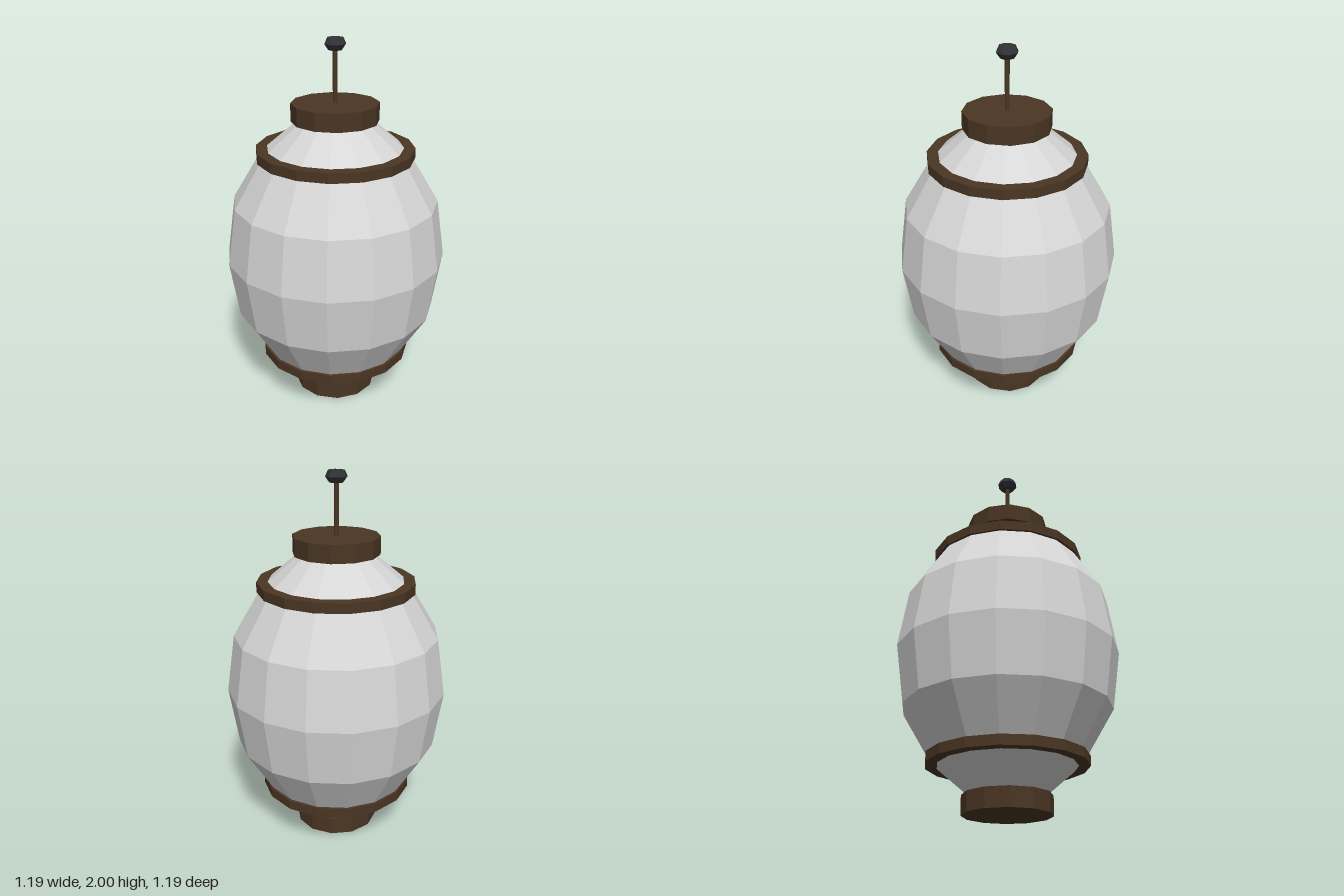
import * as THREE from 'three';

const material = (name, color) => {
  const m = new THREE.MeshStandardMaterial({ color, flatShading: true });
  m.name = name;
  return m;
};

export function createModel() {
  const paper = material('pale grey paper', 0xd6d6d6);
  const wood = material('dark brown wood', 0x4a3624);
  const iron = material('dark iron', 0x303236);
  const lantern = new THREE.Group();
  lantern.name = 'lantern';

  const add = (name, geometry, mat, y = 0) => {
    const mesh = new THREE.Mesh(geometry, mat);
    mesh.name = name;
    mesh.position.y = y;
    lantern.add(mesh);
  };
  // Lathe from [radius, height] pairs, listed bottom to top
  const lathe = (points, sides) =>
    new THREE.LatheGeometry(points.map(([r, y]) => new THREE.Vector2(r, y)), sides);
  const disc = (name, radius, bottom, top, sides, mat = wood) =>
    add(name, new THREE.CylinderGeometry(radius, radius, top - bottom, sides), mat, (bottom + top) / 2);

  // Faceted barrel-shaped shade, symmetric about y = 0.84
  const half = [[0, 0.08], [0.195, 0.1], [0.39, 0.265], [0.55, 0.53]];
  const upper = half.map(([r, y]) => [r, 1.68 - y]).reverse();
  add('shade', lathe([...half, [0.597, 0.84], ...upper], 16), paper);

  // End caps and hoops
  disc('baseCap', 0.23, 0, 0.1, 12);
  disc('topCap', 0.23, 1.58, 1.675, 12);
  disc('lowerHoop', 0.42, 0.24, 0.292, 16);
  disc('upperHoop', 0.42, 1.387, 1.44, 16);

  // Hanging rod with a ringed knob at its tip
  disc('rod', 0.013, 1.66, 1.995, 8);
  add('knob', lathe([[0, 1.938], [0.036, 1.94], [0.057, 1.97], [0.043, 2], [0.02, 2], [0.012, 1.985]], 8), iron);

  return lantern;
}
